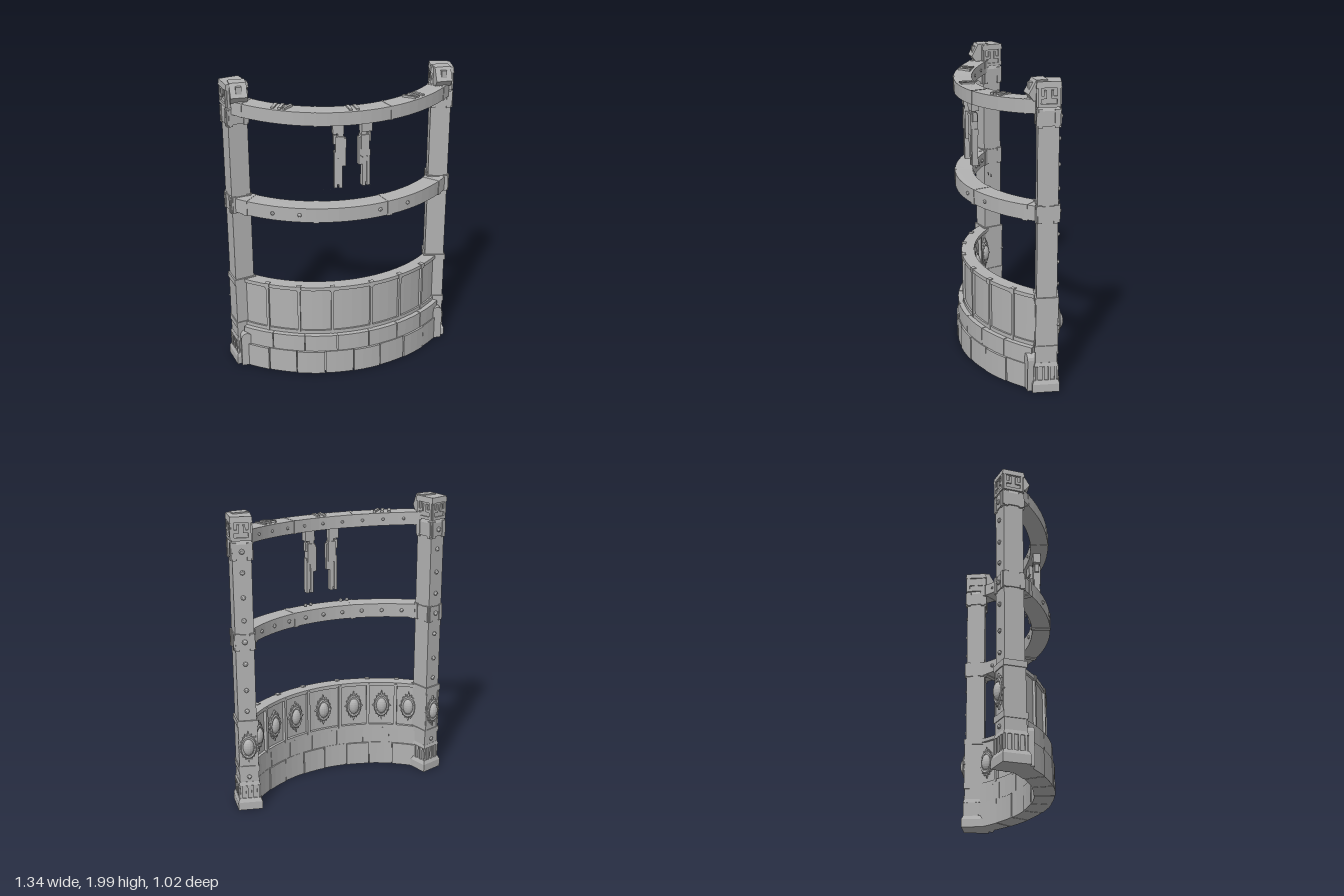
import * as THREE from 'three';

const stone = new THREE.MeshStandardMaterial({ color: 0xb2b2b2, flatShading: true });
stone.name = 'grey stone';
const RAD = Math.PI / 180;

function add(parent, geo, name, x = 0, y = 0, z = 0) {
  const m = new THREE.Mesh(geo, stone);
  m.name = name;
  m.position.set(x, y, z);
  parent.add(m);
  return m;
}
function group(parent, name, x = 0, y = 0, z = 0, ry = 0) {
  const g = new THREE.Group();
  g.name = name;
  g.position.set(x, y, z);
  g.rotation.y = ry;
  parent.add(g);
  return g;
}
const box = (parent, name, w, h, d, x, y, z) => add(parent, new THREE.BoxGeometry(w, h, d), name, x, y, z);

// Upright prism from plan points [x, z]
function prism(pts, y0, y1) {
  const shape = new THREE.Shape(pts.map(p => new THREE.Vector2(p[0], p[1])));
  const g = new THREE.ExtrudeGeometry(shape, { depth: y1 - y0, bevelEnabled: false });
  return g.rotateX(Math.PI / 2).translate(0, y1, 0);
}

// Curved block around the ring centre, optionally sagging in the middle
function arcBlock(a0, a1, r0, r1, y0, y1, sag = 0) {
  const n = Math.max(2, Math.round((a1 - a0) / 4)), pts = [];
  const at = (a, r) => [r * Math.sin(a * RAD), r * Math.cos(a * RAD)];
  for (let i = 0; i <= n; i++) pts.push(at(a0 + (a1 - a0) * i / n, r0));
  for (let i = n; i >= 0; i--) pts.push(at(a0 + (a1 - a0) * i / n, r1));
  const g = prism(pts, y0, y1), p = g.attributes.position;
  for (let i = 0; i < p.count; i++) {
    const t = Math.atan2(p.getX(i), p.getZ(i)) / (45 * RAD);
    p.setY(i, p.getY(i) - sag * (1 - t * t));
  }
  g.computeVertexNormals();
  return g;
}

function bolt(parent, x, y, z, r = 0.016) {
  const g = new THREE.SphereGeometry(r, 8, 3, 0, Math.PI * 2, 0, Math.PI / 2).rotateX(Math.PI / 2);
  add(parent, g, 'bolt', x, y, z);
}

// Oval boss in a ring on a spiky plate, facing +z
function medallion(parent, y, z) {
  const g = group(parent, 'medallion', 0, y, z), pts = [];
  for (let i = 0; i < 32; i++) {
    const a = i / 32 * Math.PI * 2;
    const k = i % 8 === 0 ? 1.12 : i % 2 ? 0.82 : 0.97;
    pts.push(new THREE.Vector2(Math.cos(a) * 0.06 * k, Math.sin(a) * 0.102 * k));
  }
  add(g, new THREE.ExtrudeGeometry(new THREE.Shape(pts), { depth: 0.014, bevelEnabled: false }), 'spiky plate');
  add(g, new THREE.TorusGeometry(0.046, 0.007, 5, 20).scale(1, 1.55, 1), 'oval ring', 0, 0, 0.015);
  add(g, new THREE.SphereGeometry(0.037, 14, 10).scale(1, 1.55, 0.8), 'boss', 0, 0, 0.012);
}

function pillar(root, s) {
  const g = group(root, s > 0 ? 'leftPillar' : 'rightPillar');
  // Square shaft, its front turned slightly outwards
  const cx = 0.678, cz = -0.015;
  const plan = [[0.634, -0.094], [0.748, -0.062], [0.728, 0.064], [0.602, 0.034]];
  const scaled = k => plan.map(([x, z]) => [s * (cx + (x - cx) * k), cz + (z - cz) * k]);
  const layer = (name, k, y0, y1, kTop = k) => {
    const geo = prism(scaled(k), y0, y1), p = geo.attributes.position;
    for (let i = 0; i < p.count; i++) if (p.getY(i) > (y0 + y1) / 2) {
      p.setX(i, s * cx + (p.getX(i) - s * cx) * kTop / k);
      p.setZ(i, cz + (p.getZ(i) - cz) * kTop / k);
    }
    geo.computeVertexNormals();
    add(g, geo, name);
  };
  layer('plinth', 1.36, 0.01, 0.065);
  layer('plinthSlope', 1.36, 0.065, 0.09, 1.2);
  layer('foot', 1.08, 0.09, 0.2);
  layer('footCap', 1.2, 0.185, 0.21, 1.1);
  layer('footBand', 1.08, 0.205, 0.29);
  layer('lowerCollar', 1.16, 0.285, 0.325);
  layer('panelBlock', 1.06, 0.28, 0.62);
  layer('upperCollar', 1.16, 0.61, 0.65);
  layer('shaft', 1.0, 0.65, 1.86);
  layer('middleBand', 1.1, 1.14, 1.24);
  layer('topBand', 1.12, 1.73, 1.82);
  layer('topBandSlope', 1.12, 1.82, 1.84, 1.0);
  layer('capitalCore', 1.0, 1.84, 1.96);
  layer('capitalTop', 1.18, 1.955, 1.992, 1.12);

  // Details on each of the four faces: front, outer, back, inner
  for (let i = 0; i < 4; i++) {
    const [a, b] = [plan[i], plan[(i + 1) % 4]];
    const w = Math.hypot(b[0] - a[0], b[1] - a[1]);
    const nx = (b[1] - a[1]) / w, nz = -(b[0] - a[0]) / w;
    const f = group(g, 'pillarFace', s * (a[0] + b[0]) / 2, 0, (a[1] + b[1]) / 2, Math.atan2(s * nx, nz));
    for (let k = -1.5; k <= 1.5; k++) box(f, 'footRib', 0.014, 0.095, 0.016, k * w * 0.31, 0.137, 0.006);
    // key pattern on the capital
    for (const e of [-1, 1]) {
      box(f, 'keyPost', 0.018, 0.115, 0.02, e * w * 0.44, 1.9, 0);
      box(f, 'keyHook', 0.036, 0.018, 0.02, e * w * 0.27, 1.9, 0);
      box(f, 'keyDrop', 0.014, 0.05, 0.02, e * w * 0.16, 1.918, 0);
    }
    box(f, 'keyBar', w, 0.02, 0.02, 0, 1.852, 0);
    for (const y of [1.19, 1.775]) {
      for (const e of [-1, 1]) box(f, 'bandStrap', 0.026, 0.112, 0.022, e * w * 0.38, y, 0.001);
    }
    if (i === 0) {
      for (const y of [0.715, 0.86, 1.04, 1.33, 1.48, 1.64]) bolt(f, 0, y, 0);
      for (const y of [1.19, 1.775]) bolt(f, 0, y, 0.006, 0.018);
      bolt(f, 0, 0.245, 0.004);
      medallion(f, 0.465, 0.002);
      for (const e of [-1, 1]) box(f, 'panelEdge', 0.012, 0.29, 0.014, e * w * 0.47, 0.465, 0.002);
    }
  }

  // Sloped block on top and rounded buttress at the foot
  const side = new THREE.Shape([[0, 1.9], [0.085, 1.875], [0.115, 1.915], [0.07, 1.998], [0, 2]].map(p => new THREE.Vector2(...p)));
  const cap = new THREE.ExtrudeGeometry(side, { depth: 0.105, bevelEnabled: false }).rotateY(-Math.PI / 2);
  add(g, cap, 'topBlock', s * 0.66 + 0.0525, 0, 0);
  box(g, 'topBlockStrap', 0.035, 0.05, 0.085, s * 0.66, 1.955, 0.062);
  box(g, 'buttress', 0.075, 0.21, 0.08, s * 0.68, 0.115, 0.075);
  add(g, new THREE.CylinderGeometry(0.0375, 0.0375, 0.08, 12).rotateX(Math.PI / 2), 'buttressTop', s * 0.68, 0.22, 0.075);
}

// Hanging bracket made of stepped bars, bulging towards the middle
function hanger(parent, a) {
  const r = 0.925, s = Math.sign(a);
  const g = group(parent, 'hanger', r * Math.sin(a * RAD), 0, r * Math.cos(a * RAD), a * RAD);
  box(g, 'hangerTop', 0.07, 0.07, 0.05, s * 0.005, 1.735, 0);
  box(g, 'hangerNeck', 0.035, 0.05, 0.035, -s * 0.01, 1.685, 0);
  box(g, 'hangerBody', 0.055, 0.14, 0.05, -s * 0.005, 1.61, 0);
  box(g, 'hangerBulge', 0.03, 0.18, 0.035, -s * 0.03, 1.575, 0);
  box(g, 'hangerHook', 0.02, 0.06, 0.03, s * 0.025, 1.66, 0);
  for (const e of [-1, 1]) box(g, 'hangerProng', 0.02, 0.24, 0.04, s * 0.005 + e * 0.015, 1.46, 0);
  box(g, 'hangerWeb', 0.02, 0.2, 0.025, s * 0.005, 1.46, 0);
}

export function createModel() {
  const model = new THREE.Group();
  model.name = 'curved balustrade';
  const root = group(model, 'turnedFrame', 0, 0, 0, -35.4 * RAD);
  const ring = group(root, 'ring', 0, 0, -0.635);
  const inward = (name, a, r) => group(ring, name, r * Math.sin(a * RAD), 0, r * Math.cos(a * RAD), a * RAD + Math.PI);
  const outward = (name, a, r) => group(ring, name, r * Math.sin(a * RAD), 0, r * Math.cos(a * RAD), a * RAD);
  pillar(root, 1);
  pillar(root, -1);

  // Stone courses of the foot, with narrow joints over a recessed core
  add(ring, arcBlock(-44, 44, 0.885, 0.985, 0.015, 0.29), 'footCore');
  for (let i = 0; i < 8; i++) {
    const a = -44 + i * 11, j = i % 2 ? 0.004 : 0;
    add(ring, arcBlock(a + 0.2, a + 10.8, 0.872 + j, 1.006 - j, 0.01, 0.175 + j), 'lowerCourse');
  }
  for (let i = 0; i < 7; i++) {
    const a = -44 + i * 88 / 7;
    add(ring, arcBlock(a + 0.15, a + 12.4, 0.878, 0.995, 0.178, 0.295), 'upperCourse');
  }

  // Parapet wall with medallion panels inside and ribs on both sides
  add(ring, arcBlock(-44, 44, 0.898, 0.95, 0.29, 0.63), 'wall');
  add(ring, arcBlock(-44, 44, 0.878, 0.962, 0.29, 0.32), 'wallSill');
  add(ring, arcBlock(-44, 44, 0.878, 0.965, 0.62, 0.645), 'wallCap');
  for (const a of [-40, -27.6, -14.7, 0, 14.7, 27.6, 40]) medallion(inward('panel', a, 0.898), 0.465, 0);
  for (const a of [-34, -21.2, -8, 8, 21.2, 34]) {
    box(inward('innerRib', a, 0.89), 'rib', 0.022, 0.33, 0.03, 0, 0.47, 0);
    const o = outward('outerRib', a, 0.955);
    box(o, 'rib', 0.018, 0.345, 0.022, 0, 0.465, 0);
    box(o, 'ribCap', 0.03, 0.035, 0.03, 0, 0.633, 0);
  }

  // Two curved rails with joint straps and bolts
  add(ring, arcBlock(-45, 45, 0.88, 1.0, 1.143, 1.238, 0.012), 'middleRail');
  add(ring, arcBlock(-45, 45, 0.88, 1.0, 1.8, 1.885, 0.03), 'topRail');
  for (const a of [-41, -14, 14, 41]) {
    add(ring, arcBlock(a - 1, a + 1, 0.877, 1.003, 1.138, 1.24, 0.012), 'middleRailStrap');
    add(ring, arcBlock(a - 0.4, a + 0.4, 0.877, 1.003, 1.798, 1.887, 0.03), 'topRailJoint');
  }
  for (let a = -36; a <= 36; a += 9) {
    const k = 1 - (a / 45) ** 2, f = inward('railBolts', a, 0.881);
    bolt(f, 0, 1.192 - 0.012 * k, 0, 0.014);
    bolt(f, 0, 1.843 - 0.03 * k, 0, 0.011);
  }
  for (const a of [-30, -20, 10, 22]) bolt(outward('outerBolt', a, 0.998), 0, 1.182, 0, 0.014);

  // Raised bars in groups on the top rail
  for (const a of [-28, 0, 28]) {
    const y = 1.889 - 0.03 * (1 - (a / 45) ** 2);
    const f = outward('topBars', a, 0.94);
    for (const x of [-0.022, 0.022]) box(f, 'bar', 0.02, 0.016, 0.085, x, y, 0);
    if (a) box(f, 'slantedBar', 0.018, 0.016, 0.09, -Math.sign(a) * 0.062, y, 0).rotation.y = Math.sign(a) * 0.3;
  }

  // Hanging brackets and the small studs below them
  for (const a of [-5.2, 5.2]) hanger(ring, a);
  for (const a of [-10.5, -7.6, 7.6, 10.5]) bolt(inward('stud', a, 0.848), 0, 1.28, 0, 0.013);
  return model;
}
